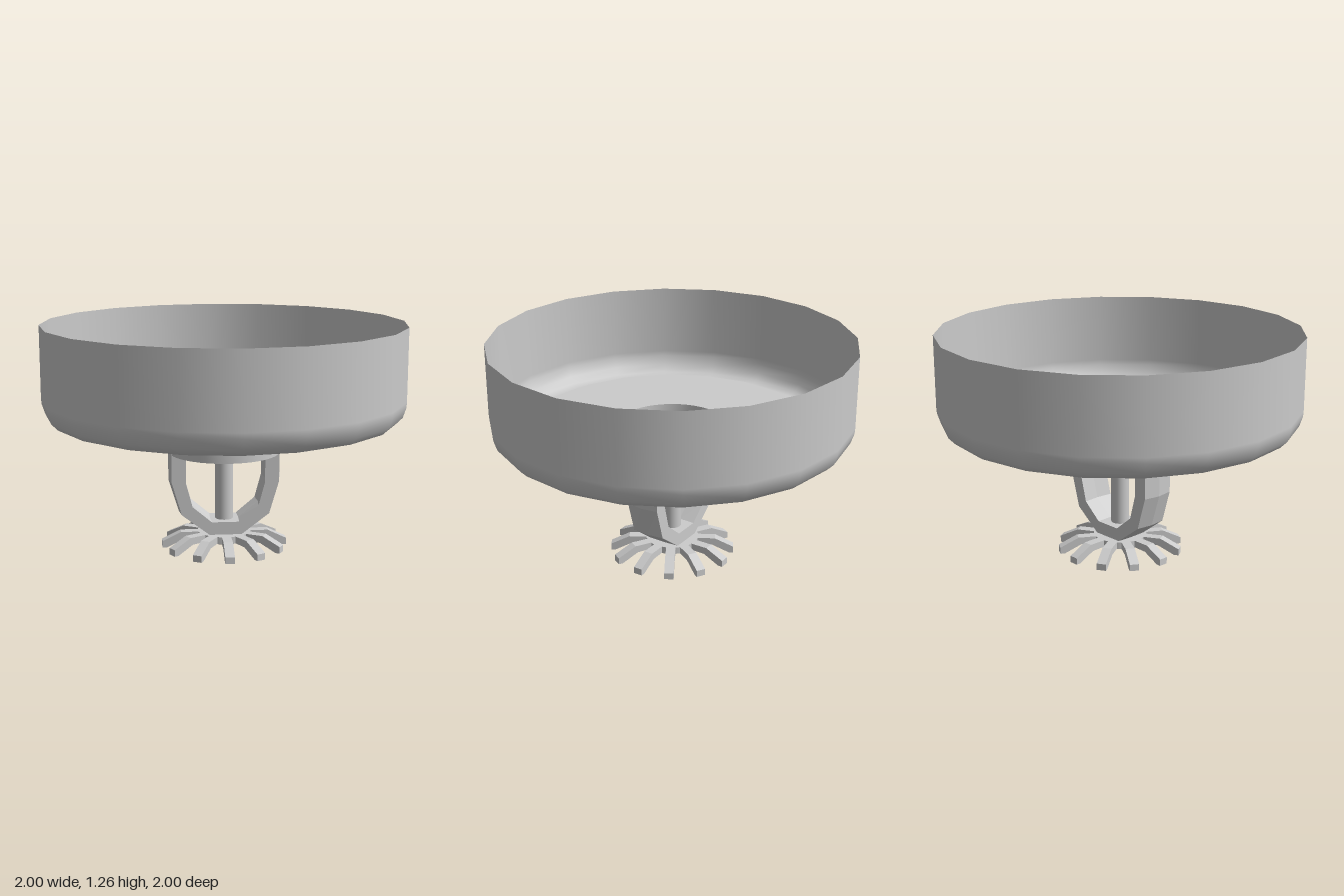
import * as THREE from 'three';
import { toCreasedNormals } from 'three/addons/utils/BufferGeometryUtils.js';

const V = (pts) => pts.map(([x, y]) => new THREE.Vector2(x, y));

export function createModel() {
  const group = new THREE.Group();
  const grey = new THREE.MeshStandardMaterial({ color: 0xcccccc });
  const sheet = new THREE.MeshStandardMaterial({ color: 0xcccccc, side: THREE.DoubleSide });

  const add = (name, geometry, material = grey, parent = group) => {
    const mesh = new THREE.Mesh(geometry, material);
    mesh.name = name;
    parent.add(mesh);
    return mesh;
  };

  // Side profile in x/y, extruded and centred across z
  const slab = (pts, width, steps = 1) =>
    new THREE.ExtrudeGeometry(new THREE.Shape(V(pts)), { depth: width, steps, bevelEnabled: false })
      .translate(0, 0, -width / 2);

  // Open cup with a rolled lower lip
  add('cupWall', new THREE.LatheGeometry(V([
    [0.8, 0.775], [0.815, 0.755], [0.85, 0.735], [0.9, 0.727], [0.945, 0.74],
    [0.98, 0.775], [0.998, 0.83], [1, 0.86], [1, 1.26],
  ]), 20), sheet);

  // Recessed cup floor with a round opening
  const floor = new THREE.Shape(V(Array.from({ length: 20 }, (_, i) => {
    const a = (i / 20) * Math.PI * 2;
    return [0.8 * Math.cos(a), 0.8 * Math.sin(a)];
  })));
  floor.holes.push(new THREE.Path().absarc(0, 0, 0.31, 0, Math.PI * 2, true));
  add('cupFloor', new THREE.ShapeGeometry(floor, 24).rotateX(-Math.PI / 2).translate(0, 0.775, 0), sheet);

  // Hollow stepped collar
  add('collar', toCreasedNormals(new THREE.LatheGeometry(V([
    [0, 0.545], [0.31, 0.545], [0.31, 0.65], [0.257, 0.65],
    [0.257, 0.71], [0.31, 0.71], [0.31, 0.775],
  ]), 48), 0.6), sheet);

  // Central rod
  add('rod', new THREE.CylinderGeometry(0.05, 0.05, 0.43, 24).translate(0, 0.345, 0));

  // Two-armed yoke, its outer faces slightly ridged along the middle
  const right = [[0.09, 0.085], [0.255, 0.205], [0.312, 0.39], [0.312, 0.56],
    [0.23, 0.56], [0.23, 0.385], [0.192, 0.25], [0.08, 0.16]];
  const outer = right.slice(0, 4), inner = right.slice(4);
  const flip = (pts) => pts.map(([x, y]) => [-x, y]).reverse();
  const yoke = slab([...outer, ...inner, ...flip(inner), ...flip(outer)], 0.19, 2);
  const p = yoke.attributes.position;
  for (let i = 0; i < p.count; i++) {
    if (Math.abs(p.getZ(i)) > 0.05) p.setX(i, p.getX(i) * 0.955);
  }
  yoke.computeVertexNormals();
  add('yoke', yoke);

  // Deflector: hub, domed cap below and twelve bent tines
  const deflector = new THREE.Group();
  deflector.name = 'deflector';
  group.add(deflector);
  add('hub', new THREE.CylinderGeometry(0.15, 0.15, 0.04, 24).translate(0, 0.068, 0), grey, deflector);
  add('cap', new THREE.LatheGeometry(V([
    [0, 0.01], [0.05, 0.014], [0.085, 0.026], [0.105, 0.05],
  ]), 24), sheet, deflector);
  const tine = slab([[0.12, 0.05], [0.23, 0.047], [0.325, 0], [0.35, 0],
    [0.35, 0.037], [0.245, 0.088], [0.12, 0.088]], 0.052);
  for (let i = 0; i < 12; i++) {
    add('tine', tine, grey, deflector).rotation.y = (i / 12) * Math.PI * 2;
  }

  return group;
}
